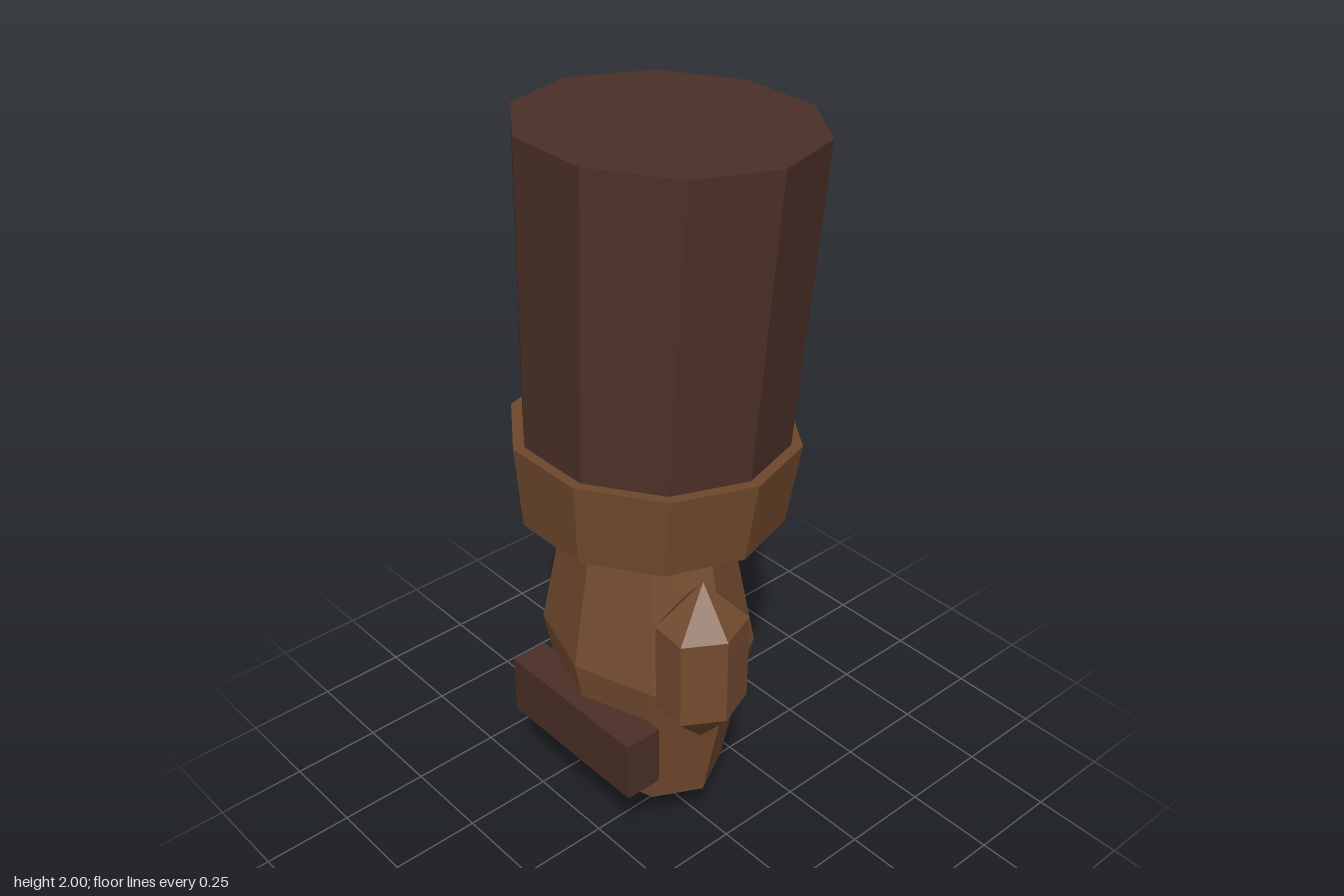
import * as THREE from 'three';

export function createModel() {
  const model = new THREE.Group();
  const mat = (name, color) => {
    const m = new THREE.MeshStandardMaterial({ color, flatShading: true });
    m.name = name;
    return m;
  };
  const darkCloth = mat('dark brown cloth', 0x4c3027);
  const cuffCloth = mat('cuff brown', 0x70492c);
  const skin = mat('warm brown', 0x754c30);

  const add = (parent, name, geometry, material, x, y, z) => {
    const mesh = new THREE.Mesh(geometry, material);
    mesh.name = name;
    mesh.position.set(x, y, z);
    parent.add(mesh);
    return mesh;
  };

  // Forearm group leans back slightly; its origin is the wrist
  const forearm = new THREE.Group();
  forearm.name = 'forearm';
  forearm.position.set(-0.015, 0.995, 0.037);
  forearm.rotation.x = -0.06;
  model.add(forearm);

  // Ten-sided tubes with a corner on the x axis
  const tube = (top, bottom, height) =>
    new THREE.CylinderGeometry(top, bottom, height, 10).rotateY(Math.PI / 2);
  add(forearm, 'cuff', tube(0.367, 0.34, 0.218), cuffCloth, 0, 0.109, 0);
  add(forearm, 'sleeve', tube(0.367, 0.332, 0.937), darkCloth, 0, 0.5185, 0);

  // Faceted fist, its top hidden in the cuff
  const fist = new THREE.SphereGeometry(1, 8, 4).scale(0.315, 0.6, 0.2475);
  add(model, 'fist', fist, skin, -0.015, 0.6, 0.0525);

  // Thumb on the left side
  const thumb = new THREE.SphereGeometry(1, 6, 3).scale(0.119, 0.245, 0.139);
  add(model, 'thumb', thumb, skin, 0.275, 0.7, 0.126).rotation.y = -0.1;

  // Strap across the knuckles
  add(model, 'knuckleStrap', new THREE.BoxGeometry(0.47, 0.172, 0.104), darkCloth, -0.015, 0.407, 0.272);

  return model;
}
